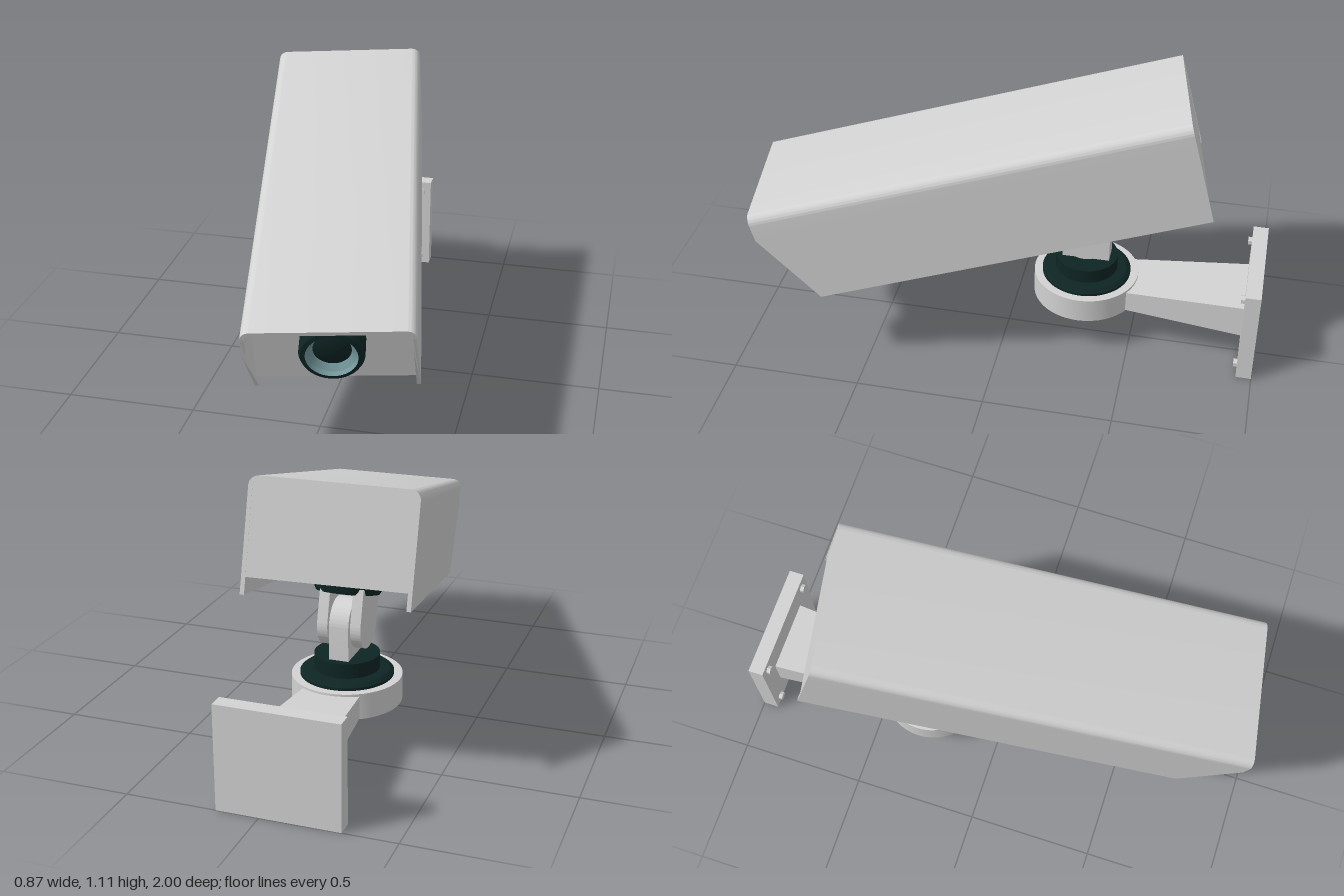
import * as THREE from 'three';
import { toCreasedNormals } from 'three/addons/utils/BufferGeometryUtils.js';

const grey = new THREE.MeshStandardMaterial({ name: 'lightGrey', color: 0xd2d2d2 });
const dark = new THREE.MeshStandardMaterial({ name: 'darkTeal', color: 0x0e2524 });
const glass = new THREE.MeshStandardMaterial({ name: 'lensRing', color: 0x73969a });

const TILT = THREE.MathUtils.degToRad(15);
const PAN = THREE.MathUtils.degToRad(10);
const MOUNT_X = -0.07, PIVOT_Y = 0.465, PIVOT_Z = -0.303;

function add(parent, name, geometry, material, x = 0, y = 0, z = 0) {
  const mesh = new THREE.Mesh(geometry, material);
  mesh.name = name;
  mesh.position.set(x, y, z);
  parent.add(mesh);
  return mesh;
}

function lathe(points, segments = 48) {
  const profile = points.map(([r, y]) => new THREE.Vector2(r, y));
  return toCreasedNormals(new THREE.LatheGeometry(profile, segments), 0.5);
}

// Flat bar with one round end at the pivot; length runs up (+) or down (-)
function lug(length, thickness, radius = 0.093) {
  const s = new THREE.Shape();
  s.moveTo(-radius, length);
  s.lineTo(-radius, 0);
  s.absarc(0, 0, radius, Math.PI, 0, length < 0);
  s.lineTo(radius, length);
  s.closePath();
  const g = new THREE.ExtrudeGeometry(s, { depth: thickness, bevelEnabled: false, curveSegments: 24 });
  g.translate(0, 0, -thickness / 2).rotateY(Math.PI / 2);
  return toCreasedNormals(g, 0.5);
}

// Thin sunshield with rounded top corners and a front edge that slants back
function coverGeometry() {
  const w = 0.292, t = 0.015, r = 0.036, top = 0.895, bottom = 0.489, kink = 0.792;
  const zBack = -0.914, zFront = 0.759, zLow = 0.603;
  const s = new THREE.Shape();
  s.moveTo(-w, bottom);
  s.lineTo(-w, kink);
  s.lineTo(-w, top - r);
  s.absarc(-w + r, top - r, r, Math.PI, Math.PI / 2, true);
  s.lineTo(w - r, top);
  s.absarc(w - r, top - r, r, Math.PI / 2, 0, true);
  s.lineTo(w, kink);
  s.lineTo(w, bottom);
  s.lineTo(w - t, bottom);
  s.lineTo(w - t, kink);
  s.lineTo(w - t, top - r);
  s.absarc(w - r, top - r, r - t, 0, Math.PI / 2, false);
  s.lineTo(-w + r, top - t);
  s.absarc(-w + r, top - r, r - t, Math.PI / 2, Math.PI, false);
  s.lineTo(-w + t, kink);
  s.lineTo(-w + t, bottom);
  s.closePath();
  const g = new THREE.ExtrudeGeometry(s, { depth: 1, bevelEnabled: false, curveSegments: 8 });
  const p = g.attributes.position;
  for (let i = 0; i < p.count; i++) {
    const k = Math.min(1, (p.getY(i) - bottom) / (kink - bottom));
    p.setZ(i, p.getZ(i) > 0.5 ? zLow + (zFront - zLow) * k : zBack);
  }
  g.computeVertexNormals();
  return toCreasedNormals(g, 0.5);
}

// Arm that narrows from the wall plate to the turntable
function armGeometry() {
  const g = new THREE.BoxGeometry(1, 1, 1);
  const p = g.attributes.position;
  for (let i = 0; i < p.count; i++) {
    const atWall = p.getZ(i) < 0;
    p.setXYZ(i,
      p.getX(i) * (atWall ? 0.285 : 0.21),
      0.207 + p.getY(i) * (atWall ? 0.136 : 0.078),
      atWall ? -0.945 : -0.4);
  }
  return toCreasedNormals(g, 0.3);
}

export function createModel() {
  const model = new THREE.Group();
  model.name = 'securityCamera';

  // Wall mount
  const mount = new THREE.Group();
  mount.name = 'wallMount';
  mount.position.x = MOUNT_X;
  model.add(mount);
  add(mount, 'wallPlate', new THREE.BoxGeometry(0.46, 0.4, 0.06), grey, 0, 0.2, -0.97);
  for (const x of [-0.188, 0.188]) {
    for (const y of [0.037, 0.358]) {
      const bolt = new THREE.CylinderGeometry(0.017, 0.017, 0.02, 6).rotateX(Math.PI / 2);
      add(mount, 'bolt', toCreasedNormals(bolt, 0.3), grey, x, y, -0.935);
    }
  }
  add(mount, 'arm', armGeometry(), grey);

  // Turntable with the fixed half of the hinge
  add(mount, 'turntable', lathe([[0, 0.16], [0.208, 0.16], [0.208, 0.26], [0, 0.26]]), grey, 0, 0, PIVOT_Z);
  add(mount, 'swivelBase', lathe([
    [0.176, 0.255], [0.176, 0.27], [0.16, 0.282], [0.123, 0.285], [0.123, 0.342], [0, 0.342],
  ]), dark, 0, 0, PIVOT_Z);
  add(mount, 'lowerLug', lug(-0.13, 0.075), grey, 0, PIVOT_Y, PIVOT_Z);

  // Tilting half of the hinge
  const yoke = new THREE.Group();
  yoke.name = 'tiltYoke';
  yoke.position.set(MOUNT_X, PIVOT_Y, PIVOT_Z);
  yoke.rotation.x = TILT;
  model.add(yoke);
  for (const side of [-1, 1]) add(yoke, 'yokePlate', lug(0.13, 0.04), grey, side * 0.064, 0, 0);
  add(yoke, 'hingePin', new THREE.CylinderGeometry(0.025, 0.025, 0.15, 16).rotateZ(Math.PI / 2), grey);

  // Camera head, panned and then tilted down
  const head = new THREE.Group();
  head.name = 'cameraHead';
  head.position.x = 0.011;
  head.rotation.set(TILT, PAN, 0);
  model.add(head);
  add(head, 'sunshield', coverGeometry(), grey);
  add(head, 'housing', new THREE.BoxGeometry(0.56, 0.333, 1.533), grey, 0, 0.7165, -0.1465);
  add(head, 'sensorTab', new THREE.BoxGeometry(0.03, 0.045, 0.03), grey, 0.207, 0.855, 0.63);
  add(head, 'headFlange', lathe([
    [0, 0.479], [0.119, 0.479], [0.125, 0.49], [0.135, 0.53], [0.172, 0.535], [0.176, 0.552],
  ]), dark, 0, 0, -0.411);

  // Lens facing forward
  const lens = new THREE.Group();
  lens.name = 'lens';
  lens.position.set(0, 0.73, 0.6);
  lens.rotation.x = Math.PI / 2;
  head.add(lens);
  add(lens, 'barrel', lathe([[0.113, 0], [0.113, 0.09], [0.106, 0.104], [0.09, 0.108]]), dark);
  add(lens, 'lensFunnel', lathe([[0.09, 0.108], [0.086, 0.09], [0.066, 0.07]]), glass);
  add(lens, 'lensGlass', lathe([[0.067, 0.07], [0.05, 0.078], [0.025, 0.083], [0, 0.085]]), dark);

  return model;
}
